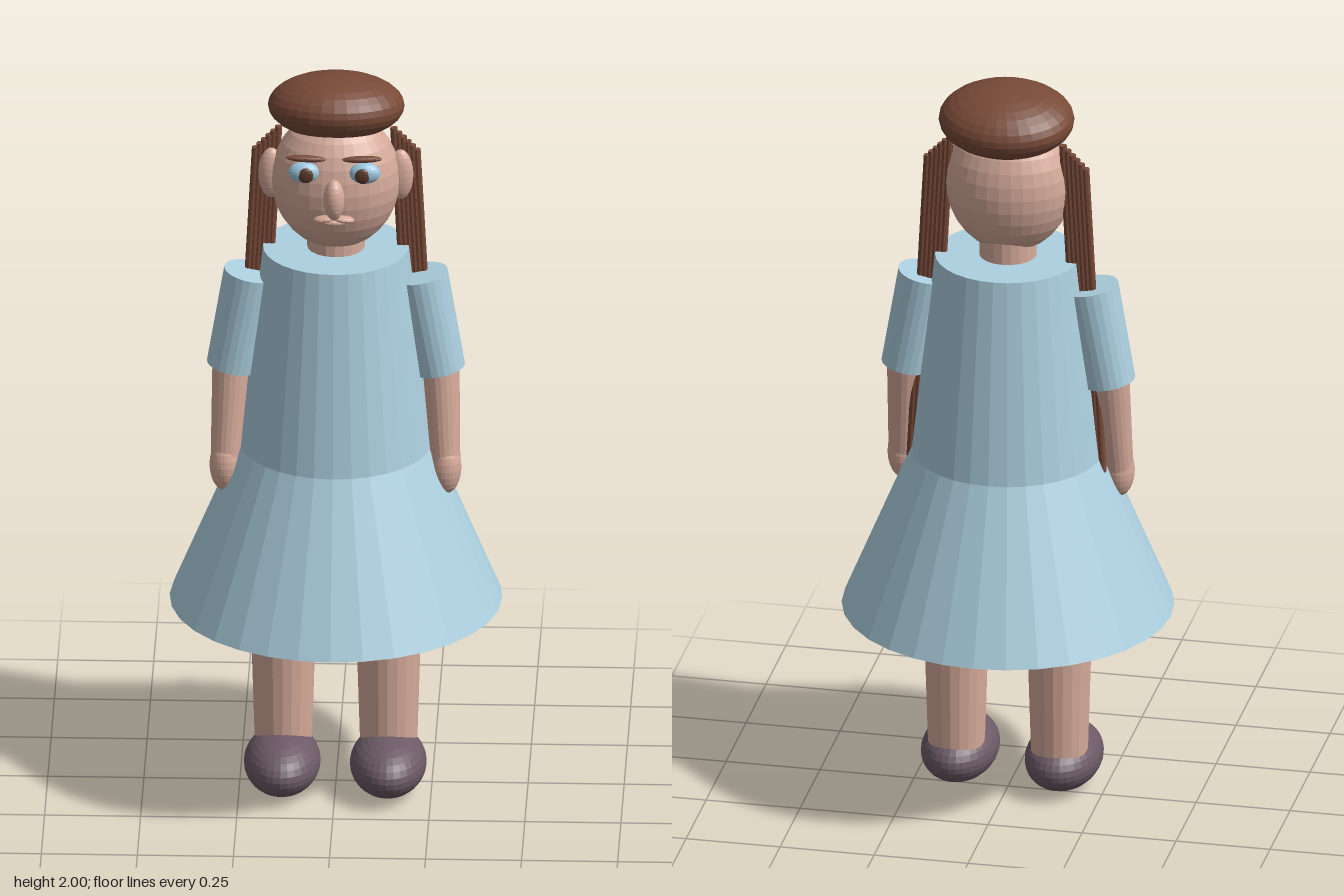
import * as THREE from 'three';

const flat = (name, color) => {
  const m = new THREE.MeshStandardMaterial({ color, flatShading: true });
  m.name = name;
  return m;
};

export function createModel() {
  const model = new THREE.Group();
  model.name = 'girlInDress';

  const skin = flat('skin', 0xd6ab9b);
  const hair = flat('hair', 0x784a38);
  const cloth = flat('paleBlueCloth', 0xadd0e0);
  const shoeLeather = flat('shoeLeather', 0x6c5a66);
  const eyeBlue = flat('eyeBlue', 0x9cc8e0);
  const pupilBrown = flat('pupilBrown', 0x5a3a2c);
  const lip = flat('lip', 0xd8a898);

  const add = (name, geometry, material, x = 0, y = 0, z = 0) => {
    const mesh = new THREE.Mesh(geometry, material);
    mesh.name = name;
    mesh.position.set(x, y, z);
    model.add(mesh);
    return mesh;
  };

  // Sphere stretched to the given radii
  const ellipsoid = (name, material, [x, y, z], [rx, ry, rz], segs = 32) =>
    add(name, new THREE.SphereGeometry(1, segs, segs / 2).scale(rx, ry, rz), material, x, y, z);

  // Tapered cylinder running from point a (top) to point b (bottom)
  const limb = (name, material, a, b, rTop, rBottom, segs = 20) => {
    const top = new THREE.Vector3(...a), bottom = new THREE.Vector3(...b);
    const axis = top.clone().sub(bottom);
    const mid = top.clone().add(bottom).multiplyScalar(0.5);
    const mesh = add(name, new THREE.CylinderGeometry(rTop, rBottom, axis.length(), segs),
      material, mid.x, mid.y, mid.z);
    mesh.quaternion.setFromUnitVectors(new THREE.Vector3(0, 1, 0), axis.normalize());
    return mesh;
  };

  // Dress
  limb('dressBodice', cloth, [0, 1.52, 0], [0, 0.965, 0], 0.19, 0.25, 32);
  limb('dressSkirt', cloth, [0, 0.965, 0], [0, 0.525, 0], 0.25, 0.433, 32);

  // Head, neck and cap of hair
  limb('neck', skin, [0, 1.6, 0], [0, 1.5, 0], 0.075, 0.075);
  ellipsoid('head', skin, [0, 1.72, 0.015], [0.168, 0.19, 0.136]);
  ellipsoid('hairCap', hair, [0, 1.913, -0.018], [0.178, 0.085, 0.152]).rotation.x = -0.14;

  // Nose and mouth
  ellipsoid('nose', skin, [0, 1.718, 0.155], [0.028, 0.056, 0.032], 24);
  ellipsoid('lowerLip', lip, [0, 1.652, 0.146], [0.036, 0.011, 0.018], 16);

  for (const s of [1, -1]) {
    const side = s > 0 ? 'left' : 'right';

    // Face details
    ellipsoid(side + 'UpperLip', lip, [s * 0.024, 1.66, 0.146], [0.03, 0.01, 0.018], 16).rotation.z = s * -0.12;
    ellipsoid(side + 'Eye', eyeBlue, [s * 0.079, 1.785, 0.131], [0.041, 0.029, 0.023], 24);
    ellipsoid(side + 'Pupil', pupilBrown, [s * 0.074, 1.783, 0.149], [0.02, 0.021, 0.008], 16);
    ellipsoid(side + 'Eyebrow', hair, [s * 0.073, 1.83, 0.145], [0.053, 0.009, 0.012], 16).rotation.z = s * 0.04;
    ellipsoid(side + 'Ear', skin, [s * 0.168, 1.73, 0.01], [0.034, 0.07, 0.024], 24);

    // Long straight strands of hair
    for (let i = 0; i < 6; i++) {
      const x = 0.15 + i * 0.012, y = 1.85 - i * 0.012;
      limb(side + 'HairStrand' + (i + 1), hair,
        [s * x, y, -0.018], [s * (x + 0.046), y - 0.86, -0.018], 0.01, 0.01, 10);
    }

    // Arms
    limb(side + 'Sleeve', cloth, [s * 0.22, 1.446, 0.004], [s * 0.269, 1.18, 0.004], 0.072, 0.068, 24);
    limb(side + 'Forearm', skin, [s * 0.27, 1.24, -0.004], [s * 0.287, 0.92, 0.038], 0.051, 0.038);
    ellipsoid(side + 'Hand', skin, [s * 0.288, 0.913, 0.04], [0.04, 0.073, 0.041], 24);

    // Legs and shoes
    limb(side + 'Leg', skin, [s * 0.137, 0.62, 0], [s * 0.137, 0.1, 0], 0.09, 0.074);
    ellipsoid(side + 'Shoe', shoeLeather, [s * 0.138, 0.08, 0.055], [0.1, 0.08, 0.158]);
  }

  return model;
}
